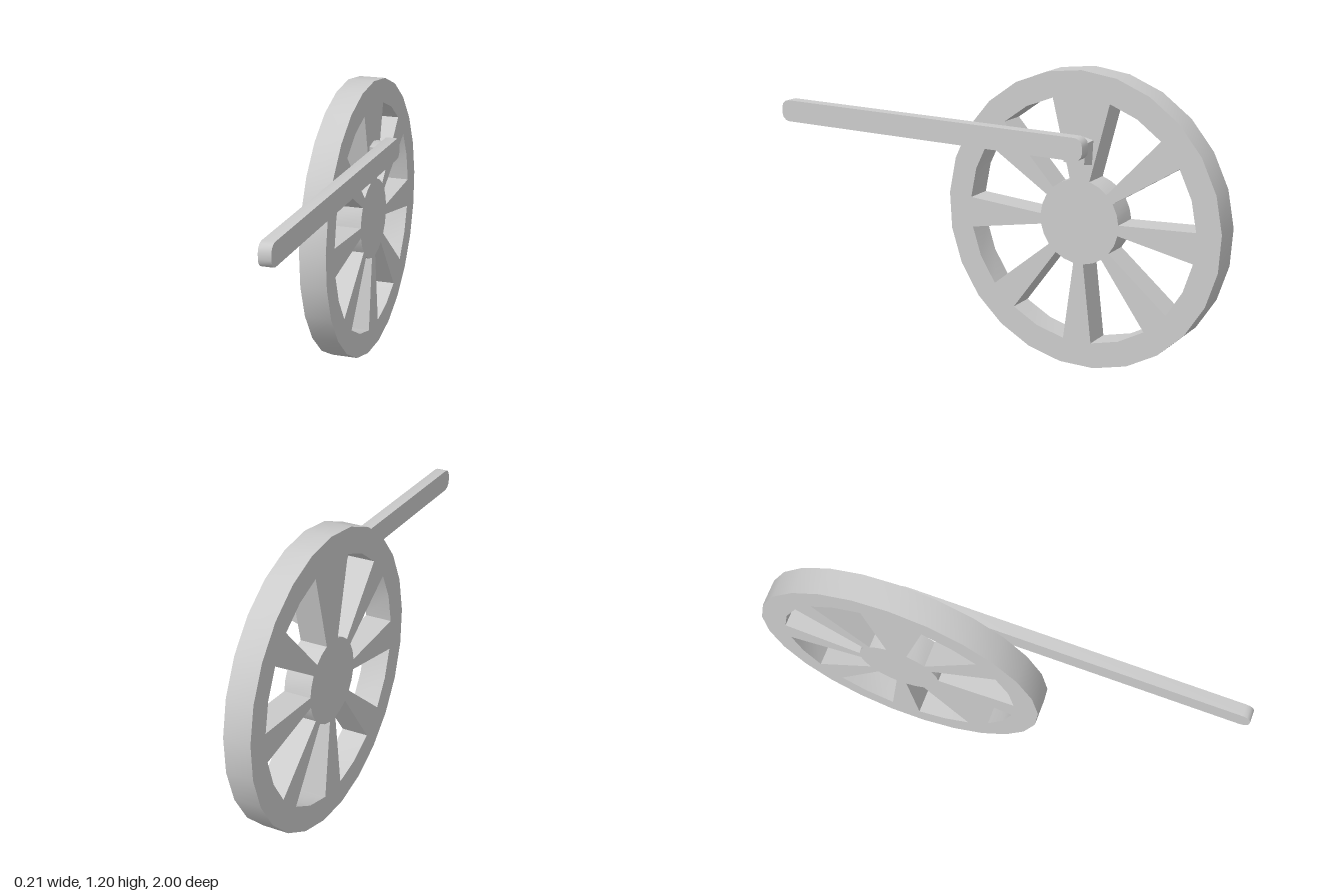
import * as THREE from 'three';
import { toCreasedNormals } from 'three/addons/utils/BufferGeometryUtils.js';

const material = new THREE.MeshStandardMaterial({ color: 0xcccccc });
const SEGMENTS = 25;

// Point on a circle, counted in rim segments clockwise from the top
function rimPoint(radius, i) {
  const a = (i / SEGMENTS) * Math.PI * 2;
  return new THREE.Vector2(Math.sin(a) * radius, Math.cos(a) * radius);
}

// Rectangle with corners rounded by a few straight steps
function roundedRect(w, h, r, steps) {
  const points = [];
  for (let c = 0; c < 4; c++) {
    const cx = (c === 0 || c === 3 ? 1 : -1) * (w / 2 - r);
    const cy = (c < 2 ? 1 : -1) * (h / 2 - r);
    for (let s = 0; s <= steps; s++) {
      const a = (c + s / steps) * Math.PI / 2;
      points.push(new THREE.Vector2(cx + Math.cos(a) * r, cy + Math.sin(a) * r));
    }
  }
  return new THREE.Shape(points);
}

// Extrude a side profile along +x, centred on its thickness
function sidePart(name, shape, thickness, taper = 1) {
  const geometry = new THREE.ExtrudeGeometry(shape, { depth: thickness, bevelEnabled: false });
  const p = geometry.attributes.position;
  for (let i = 0; i < p.count; i++) {
    const k = THREE.MathUtils.lerp(1, taper, p.getZ(i) / thickness);
    p.setXY(i, p.getX(i) * k, p.getY(i) * k);
  }
  geometry.translate(0, 0, -thickness / 2);
  geometry.rotateY(Math.PI / 2);
  const mesh = new THREE.Mesh(toCreasedNormals(geometry, 0.6), material);
  mesh.name = name;
  return mesh;
}

export function createModel() {
  const model = new THREE.Group();
  model.name = 'wheelWithConnectingRod';

  // Wheel: eight openings leave a double-width spoke at the top
  const outline = [];
  for (let i = 0; i < SEGMENTS; i++) outline.push(rimPoint(0.604, i));
  const wheelShape = new THREE.Shape(outline);
  for (let k = 0; k < 8; k++) {
    const start = 1 + 3 * k;
    const hole = [];
    for (let j = 0; j <= 2; j++) hole.push(rimPoint(0.173, start + j));
    for (let j = 2; j >= 0; j--) hole.push(rimPoint(0.5, start + j));
    wheelShape.holes.push(new THREE.Path(hole));
  }
  const wheel = sidePart('spokedWheel', wheelShape, 0.113);
  wheel.position.set(-0.0455, 0.6, -0.396);
  wheel.rotation.z = 0.005;
  model.add(wheel);

  // Crank pin: slightly peaked block, tapering from the wide spoke to the rod
  const pinShape = new THREE.Shape([
    new THREE.Vector2(-0.055, -0.056), new THREE.Vector2(0.055, -0.056),
    new THREE.Vector2(0.059, 0.044), new THREE.Vector2(0, 0.056),
    new THREE.Vector2(-0.059, 0.044),
  ]);
  const pin = sidePart('crankPin', pinShape, 0.054, 0.82);
  pin.position.set(0.031, 0.893, -0.395);
  model.add(pin);

  // Connecting rod with rounded ends
  const rod = sidePart('connectingRod', roundedRect(1.455, 0.092, 0.035, 3), 0.05);
  rod.position.set(0.08, 0.914, 0.2725);
  model.add(rod);

  return model;
}
